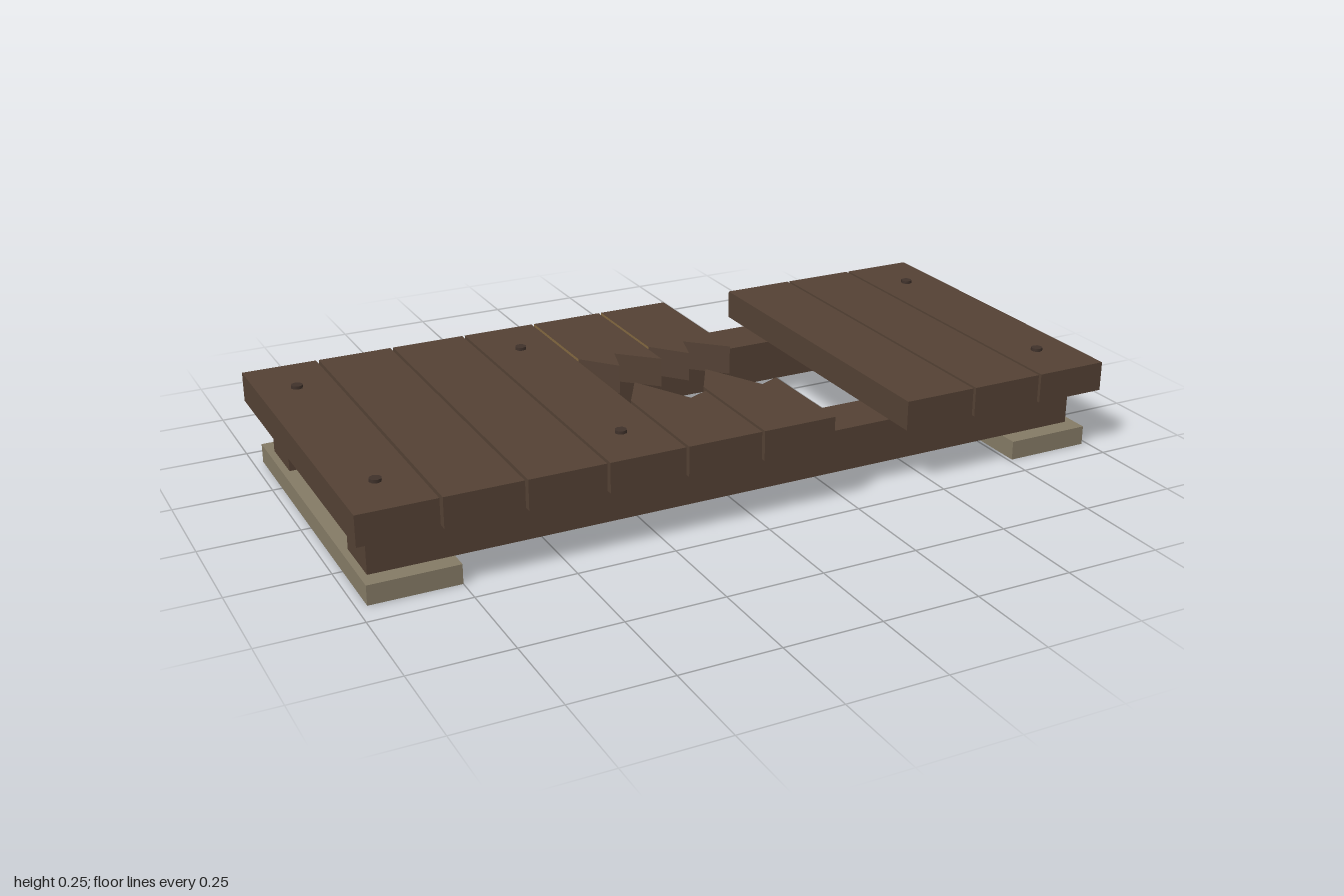
import * as THREE from 'three';

const mat = (name, color) => {
  const m = new THREE.MeshStandardMaterial({ color });
  m.name = name;
  return m;
};

export function createModel() {
  const model = new THREE.Group();
  model.name = 'brokenPlankPlatform';
  const wood = mat('darkWood', 0x544134);
  const rawWood = mat('splitWood', 0x836840);
  const footWood = mat('weatheredWood', 0x857b66);
  const iron = mat('nailIron', 0x40322b);

  const add = (name, geometry, material) => {
    const mesh = new THREE.Mesh(geometry, material);
    mesh.name = name;
    model.add(mesh);
    return mesh;
  };
  // Box given by its limits on each axis
  const box = (name, x0, x1, y0, y1, z0, z1, material) =>
    add(name, new THREE.BoxGeometry(x1 - x0, y1 - y0, z1 - z0), material)
      .position.set((x0 + x1) / 2, (y0 + y1) / 2, (z0 + z1) / 2);

  const deckBottom = 0.163, deckTop = 0.24, halfDepth = 0.463;
  const plankWidth = 0.193, pitch = (2 - plankWidth) / 9;

  // Feet and the two long beams
  box('rightFoot', -0.975, -0.75, 0, 0.05, -0.43, 0.43, footWood);
  box('leftFoot', 0.76, 0.985, 0, 0.05, -0.43, 0.43, footWood);
  box('frontBeam', -0.957, 0.962, 0.05, deckBottom, 0.243, 0.383, wood);
  box('backBeam', -0.957, 0.962, 0.05, deckBottom, -0.373, -0.234, wood);

  // Half plank with a splintered end; walls whose normal z is below rawLimit show raw wood
  const brokenPlank = (name, x, outline, rawLimit) => {
    const shape = new THREE.Shape(outline.map(([px, pz]) => new THREE.Vector2(px, -pz)));
    const geometry = new THREE.ExtrudeGeometry(shape, { depth: deckTop - deckBottom, bevelEnabled: false });
    geometry.rotateX(-Math.PI / 2);
    geometry.clearGroups();
    const n = geometry.attributes.normal;
    for (let i = 0; i < n.count; i += 3) {
      const raw = Math.abs(n.getY(i)) < 0.5 && n.getZ(i) < rawLimit;
      geometry.addGroup(i, 3, raw ? 1 : 0);
    }
    add(name, geometry, [wood, rawWood]).position.set(x, deckBottom, 0);
  };
  const backOutline = [[0, -halfDepth], [0, -0.165], [0.075, -0.075], [0.1, -0.16],
    [plankWidth, -0.07], [plankWidth, -halfDepth]];
  const frontOutline = [[0, halfDepth], [0, 0.15], [0.06, 0.045], [0.14, 0.2],
    [plankWidth, 0.175], [plankWidth, halfDepth]];

  // Deck planks: two snapped, one missing
  for (let i = 0; i < 10; i++) {
    const x = -1 + i * pitch;
    if (i === 6) continue;
    if (i === 4 || i === 5) {
      brokenPlank('brokenPlankBack', x, backOutline, 0.01);
      brokenPlank('brokenPlankFront', x, frontOutline, -0.01);
    } else {
      box('plank', x, x + plankWidth, deckBottom, deckTop, -halfDepth, halfDepth, wood);
    }
  }

  // Nail heads
  for (const x of [-0.903, -0.302, 0.903]) {
    for (const z of [0.315, -0.302]) {
      add('nailHead', new THREE.CylinderGeometry(0.015, 0.015, 0.012, 8), iron).position.set(x, 0.242, z);
    }
  }
  return model;
}
